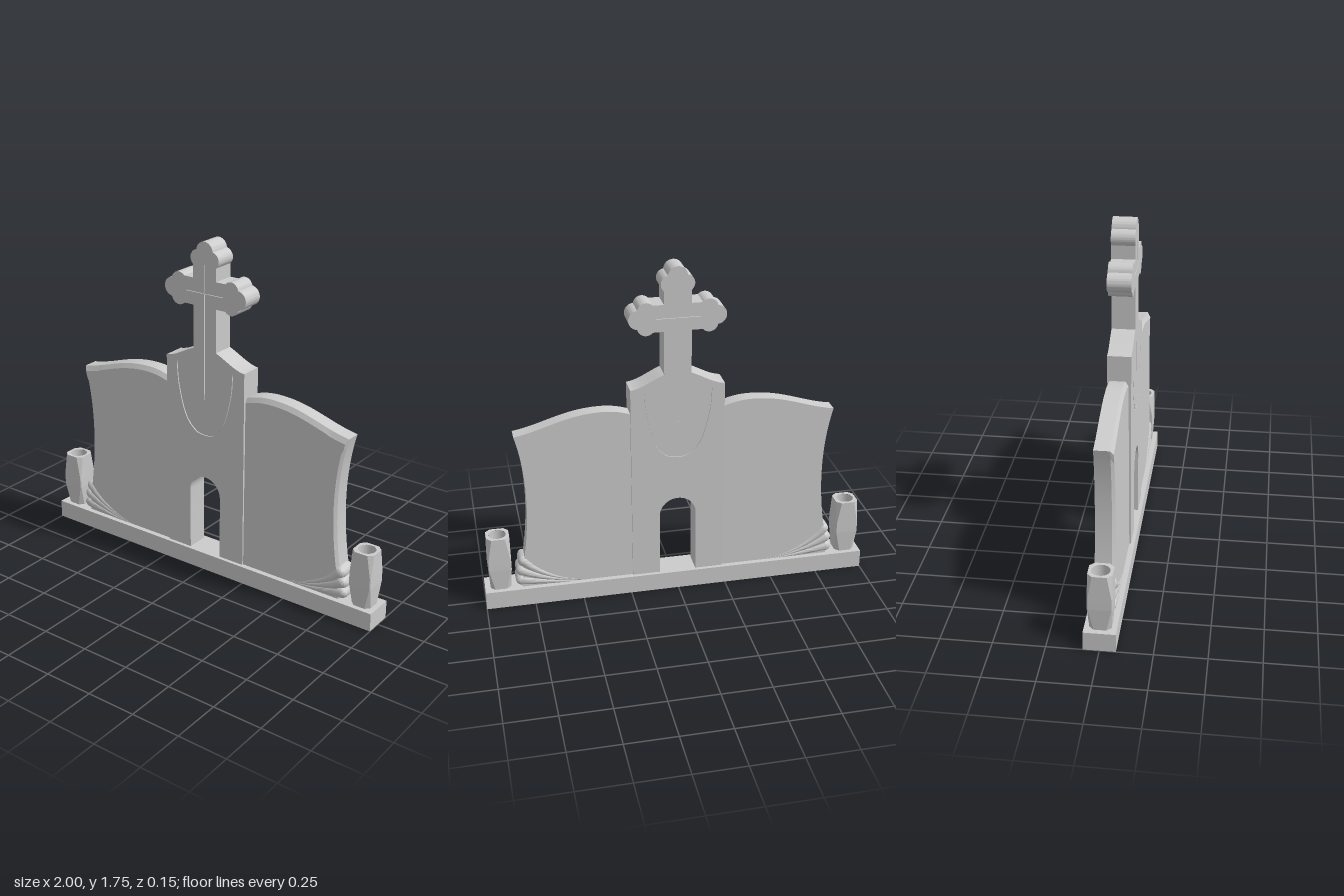
import * as THREE from 'three';
import { toCreasedNormals, mergeVertices } from 'three/addons/utils/BufferGeometryUtils.js';

const BASE = 0.095, HALF = 0.058, GROOVE = 0.006;
const grey = new THREE.MeshStandardMaterial({ color: 0xcccccc });

function add(parent, name, geometry) {
  const mesh = new THREE.Mesh(geometry, grey);
  mesh.name = name;
  parent.add(mesh);
  return mesh;
}

// Skin through rings of equal point count, with flat end caps.
function loft(rings, capEnd = true) {
  const n = rings[0].length, pos = rings.flat().flatMap(p => [p.x, p.y, p.z]), idx = [];
  for (let i = 0; i < rings.length - 1; i++)
    for (let j = 0; j < n; j++) {
      const a = i * n + j, b = i * n + (j + 1) % n;
      idx.push(a, b, a + n, b, b + n, a + n);
    }
  const last = (rings.length - 1) * n;
  for (let j = 1; j < n - 1; j++) {
    idx.push(0, j + 1, j);
    if (capEnd) idx.push(last, last + j, last + j + 1);
  }
  const g = new THREE.BufferGeometry();
  g.setAttribute('position', new THREE.Float32BufferAttribute(pos, 3));
  g.setIndex(idx);
  return g;
}

// Three-lobed end of a cross arm pointing along angle a, lobes at distance d.
function trefoil(shape, a, d) {
  const cx = 0, cy = 1.5, rad = Math.PI / 180;
  const arc = (u, v, r, from, to) => shape.absarc(
    cx + u * Math.cos(a) - v * Math.sin(a), cy + u * Math.sin(a) + v * Math.cos(a),
    r, a + from * rad, a + to * rad, false);
  arc(d, -0.04, 0.043, 221, 345);
  arc(d + 0.038, 0, 0.048, -85, 85);
  arc(d, 0.04, 0.043, 15, 139);
}

// Outline of the central pillar, its doorway and the cross on top.
function pillarShape() {
  const s = new THREE.Shape();
  s.moveTo(-0.237, BASE);
  s.lineTo(-0.094, BASE);
  s.lineTo(-0.094, 0.43);
  s.absarc(0, 0.43, 0.094, Math.PI, 0, true);
  s.lineTo(0.094, BASE);
  s.lineTo(0.237, BASE);
  s.lineTo(0.237, 1.14);
  s.bezierCurveTo(0.18, 1.145, 0.12, 1.19, 0.068, 1.21);
  s.lineTo(0.068, 1.432);
  trefoil(s, 0, 0.155);
  s.lineTo(0.068, 1.568);
  trefoil(s, Math.PI / 2, 0.168);
  s.lineTo(-0.068, 1.568);
  trefoil(s, Math.PI, 0.155);
  s.lineTo(-0.068, 1.432);
  s.lineTo(-0.068, 1.21);
  s.bezierCurveTo(-0.12, 1.19, -0.18, 1.145, -0.237, 1.14);
  s.closePath();
  return s;
}

// Fine carved lines: a thin cross and a collar-like loop below it.
function carvedLines() {
  const w = 0.003;
  const cross = [[-w, 0.95], [w, 0.95], [w, 1.5 - w], [0.11, 1.5 - w], [0.11, 1.5 + w], [w, 1.5 + w],
    [w, 1.64], [-w, 1.64], [-w, 1.5 + w], [-0.11, 1.5 + w], [-0.11, 1.5 - w], [-w, 1.5 - w]];
  const line = new THREE.SplineCurve([[-0.17, 1.12], [-0.16, 1.0], [-0.12, 0.85], [-0.06, 0.775], [0, 0.76],
    [0.06, 0.775], [0.12, 0.85], [0.16, 1.0], [0.17, 1.12]].map(p => new THREE.Vector2(...p)));
  const left = [], right = [];
  for (let i = 0; i <= 32; i++) {
    const p = line.getPoint(i / 32), t = line.getTangent(i / 32);
    left.push(new THREE.Vector2(p.x - t.y * w, p.y + t.x * w));
    right.unshift(new THREE.Vector2(p.x + t.y * w, p.y - t.x * w));
  }
  return [new THREE.Path(cross.map(p => new THREE.Vector2(...p))), new THREE.Path([...left, ...right])];
}

function extrude(shape, depth, z) {
  const g = new THREE.ExtrudeGeometry(shape, { depth, bevelEnabled: false, curveSegments: 14 });
  return toCreasedNormals(g.translate(0, 0, z), 0.5);
}

// Wavy side slab, thicker toward its foot, with a chamfered front edge.
function wingGeometry() {
  const s = new THREE.Shape();
  s.moveTo(0.2, BASE);
  s.lineTo(0.81, BASE);
  s.lineTo(0.805, 0.2);
  s.bezierCurveTo(0.755, 0.45, 0.75, 0.72, 0.812, 0.942);
  s.bezierCurveTo(0.66, 0.965, 0.56, 1.035, 0.38, 1.035);
  s.bezierCurveTo(0.32, 1.035, 0.27, 1.025, 0.2, 0.995);
  s.closePath();
  const g = new THREE.ExtrudeGeometry(s, { depth: 0.09, steps: 6, bevelEnabled: false, curveSegments: 18 });
  g.translate(0, 0, -0.045);
  const p = g.attributes.position;
  for (let i = 0; i < p.count; i++) {
    let x = p.getX(i), y = p.getY(i), z = p.getZ(i);
    const grow = 1 + 0.12 * (1 - y);
    if (z > 0.044) {
      if (y > 0.9) y -= 0.024;
      if (x > 0.7) x -= 0.012;
    }
    p.setXYZ(i, x, y, z * grow);
  }
  return toCreasedNormals(g, 0.5);
}

// Tapered flute fanning out from the base, rounded at its outer end.
function fluteGeometry(start, mid, end) {
  const curve = new THREE.QuadraticBezierCurve(
    new THREE.Vector2(...start), new THREE.Vector2(...mid), new THREE.Vector2(...end));
  const rings = [];
  const ring = (t, push, round) => {
    const c = curve.getPoint(t), d = curve.getTangent(t);
    const r = (0.006 + 0.028 * t) * round, zr = 0.05 + 0.008 * t - 0.02 * (1 - round);
    rings.push(Array.from({ length: 24 }, (_, k) => {
      const a = k / 24 * Math.PI * 2, v = r * Math.sin(a), q = Math.cos(a);
      return new THREE.Vector3(c.x + d.x * push - d.y * v, c.y + d.y * push + d.x * v,
        -zr * Math.sign(q) * Math.abs(q) ** 0.6);
    }).reverse());
  };
  for (let i = 0; i <= 12; i++) ring(i / 12, 0, 1);
  for (let i = 1; i <= 6; i++) {
    const a = i / 6 * Math.PI / 2;
    ring(1, 0.03 * Math.sin(a), Math.max(Math.cos(a), 0.02));
  }
  return toCreasedNormals(loft(rings.map(r => r.reverse())), 0.8);
}

// Square vase with chamfers that vary along its height and a round socket.
function vaseGeometry() {
  const ring = (y, h, c) => [[h, h - c], [h - c, h], [c - h, h], [-h, h - c], [-h, c - h], [c - h, -h],
    [h - c, -h], [h, c - h]].map(([x, z]) => new THREE.Vector3(x, y, z)).reverse();
  const g = loft([ring(BASE, 0.052, 0.022), ring(0.21, 0.059, 0.004), ring(0.27, 0.059, 0.004),
    ring(0.388, 0.058, 0.024)], false);
  return toCreasedNormals(g, 0.05);
}

function vaseRim() {
  const h = 0.058, c = 0.024;
  const s = new THREE.Shape([[h, h - c], [h - c, h], [c - h, h], [-h, h - c], [-h, c - h], [c - h, -h],
    [h - c, -h], [h, c - h]].map(p => new THREE.Vector2(...p)));
  s.holes.push(new THREE.Path().absarc(0, 0, 0.044, 0, Math.PI * 2, true));
  return new THREE.ShapeGeometry(s, 24).rotateX(-Math.PI / 2).translate(0, 0.388, 0);
}

function vaseSocket() {
  const profile = [[0, 0.3], [0.044, 0.3], [0.044, 0.388]].map(p => new THREE.Vector2(...p));
  const g = new THREE.LatheGeometry(profile, 24);
  g.deleteAttribute('normal');
  g.deleteAttribute('uv');
  // Turn the faces inward so the socket shows from above.
  const idx = g.index.array, p = g.attributes.position;
  const a = new THREE.Vector3().fromBufferAttribute(p, idx[0]);
  g.userData.start = a.y;
  return toCreasedNormals(mergeVertices(g), 0.6);
}

export function createModel() {
  const model = new THREE.Group();
  model.name = 'memorial';

  add(model, 'base', new THREE.BoxGeometry(2, BASE, 0.154).translate(0, BASE / 2, 0));

  // Central pillar: a plain core with a thin carved layer on each face
  const pillar = new THREE.Group();
  pillar.name = 'pillarWithCross';
  model.add(pillar);
  add(pillar, 'pillarCore', extrude(pillarShape(), 2 * (HALF - GROOVE), GROOVE - HALF));
  const face = pillarShape();
  face.holes.push(...carvedLines());
  add(pillar, 'carvedFront', extrude(face, GROOVE, HALF - GROOVE));
  add(pillar, 'carvedBack', extrude(face, GROOVE, -HALF));

  // Wing, flutes and vase, mirrored on both sides
  for (const side of [1, -1]) {
    const half = new THREE.Group();
    half.name = side > 0 ? 'leftSide' : 'rightSide';
    half.scale.x = side;
    model.add(half);
    add(half, 'wing', wingGeometry());
    [[[0.52, 0.1], [0.7, 0.135], [0.795, 0.236]],
      [[0.5, 0.095], [0.68, 0.115], [0.808, 0.184]],
      [[0.48, 0.09], [0.65, 0.1], [0.812, 0.13]]]
      .forEach((path, i) => add(half, 'flute' + (i + 1), fluteGeometry(...path)));
    const vase = new THREE.Group();
    vase.name = 'vase';
    vase.position.x = 0.92;
    half.add(vase);
    add(vase, 'vaseBody', vaseGeometry());
    add(vase, 'vaseRim', vaseRim());
    const socket = add(vase, 'vaseSocket', vaseSocket());
    socket.material = grey.clone();
    socket.material.side = THREE.DoubleSide;
  }
  return model;
}
